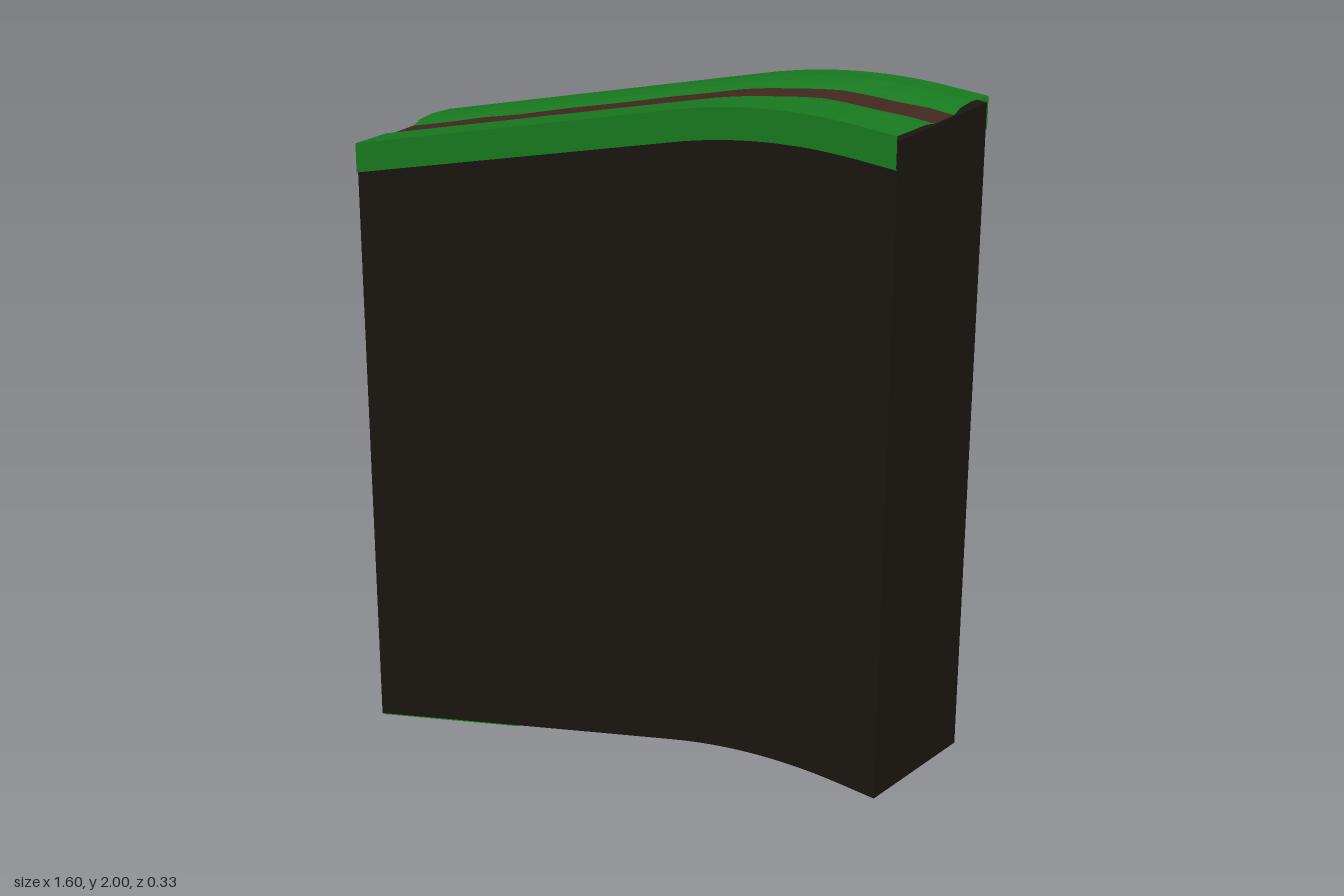
import * as THREE from 'three';

const COLS = 48, HALF = 0.8;

// Height of the underside: a steady ramp that eases to level at the high end
function rise(x) {
  const s = 0.312, a = 0.2, b = 0.7;
  if (x <= a) return s * (x + HALF);
  const t = Math.min(x, b) - a;
  return s * (a + HALF) + s * t - (s * t * t) / (2 * (b - a));
}

// Path edges: x, back z, front z
const PATH = [
  [-0.8, -0.035, 0.035], [-0.68, -0.03, 0.035], [-0.57, -0.043, 0.032], [-0.44, -0.028, 0.04],
  [-0.3, -0.04, 0.025], [-0.11, -0.035, 0.04], [0.02, -0.042, 0.032], [0.12, -0.037, 0.037],
  [0.23, -0.038, 0.033], [0.38, -0.03, 0.038], [0.5, -0.043, 0.025], [0.65, -0.03, 0.038],
  [0.73, -0.042, 0.03], [0.8, -0.038, 0.032],
];
function pathEdge(x, side) {
  let i = 1;
  while (i < PATH.length - 1 && PATH[i][0] < x) i++;
  const p = PATH[i - 1], q = PATH[i];
  return THREE.MathUtils.lerp(p[side], q[side], (x - p[0]) / (q[0] - p[0]));
}

// Sweeps a cross-section of [y above the underside, z] points along x
function ribbon(name, material, section, x0 = -HALF, x1 = HALF, cols = COLS) {
  const pos = [], index = [];
  let n = 0;
  for (let i = 0; i <= cols; i++) {
    const x = x0 + ((x1 - x0) * i) / cols;
    const pts = section(x);
    n = pts.length;
    for (const [y, z] of pts) pos.push(x, rise(x) + y, z);
  }
  for (let i = 0; i < cols; i++) {
    for (let j = 0; j < n - 1; j++) {
      const a = i * n + j, b = a + 1, c = a + n, d = c + 1;
      index.push(a, b, c, b, d, c);
    }
  }
  const g = new THREE.BufferGeometry();
  g.setAttribute('position', new THREE.Float32BufferAttribute(pos, 3));
  g.setIndex(index);
  g.computeVertexNormals();
  const mesh = new THREE.Mesh(g, material);
  mesh.name = name;
  return mesh;
}

export function createModel() {
  const group = new THREE.Group();
  group.name = 'rampTerrain';
  const mat = (color) => new THREE.MeshStandardMaterial({ color, flatShading: true, side: THREE.DoubleSide });
  const earth = mat(0x1a1610), grass = mat(0x187a20), dirt = mat(0x42281f);

  // Earth block
  const shape = new THREE.Shape();
  const xs = Array.from({ length: COLS + 1 }, (_, i) => -HALF + (2 * HALF * i) / COLS);
  xs.forEach((x, i) => (i ? shape.lineTo(x, rise(x) + 0.003) : shape.moveTo(x, rise(x) + 0.003)));
  [...xs].reverse().forEach((x) => shape.lineTo(x, rise(x) + 1.592));
  const block = new THREE.ExtrudeGeometry(shape, { depth: 0.32, bevelEnabled: false });
  block.translate(0, 0, -0.16);
  const body = new THREE.Mesh(block, earth);
  body.name = 'earthBlock';
  group.add(body);

  // Turf on both sides of the path, with a lip hanging over each face
  group.add(ribbon('backGrass', grass, (x) => [
    [1.53, -0.16], [1.53, -0.165], [1.605, -0.165], [1.61, -0.1], [1.606, -0.06], [1.596, pathEdge(x, 1)],
  ]));
  group.add(ribbon('frontGrass', grass, (x) => [
    [1.596, pathEdge(x, 2)], [1.602, 0.06], [1.605, 0.165], [1.53, 0.165], [1.53, 0.16],
  ]));

  // Dirt path
  group.add(ribbon('dirtPath', dirt, (x) => [[1.596, pathEdge(x, 1)], [1.596, pathEdge(x, 2)]]));

  // Stepped green patch under the low end: back z, front z, inner end x
  const steps = [[0.04, 0.16, -0.31], [-0.04, 0.04, -0.45], [-0.12, 0.04 - 0.08, -0.58], [-0.16, -0.12, -0.68]];
  for (const [z0, z1, end] of steps) {
    group.add(ribbon('undersidePatch', grass, () => [[0, z1], [0, z0]], -HALF, end, 4));
  }
  return group;
}
